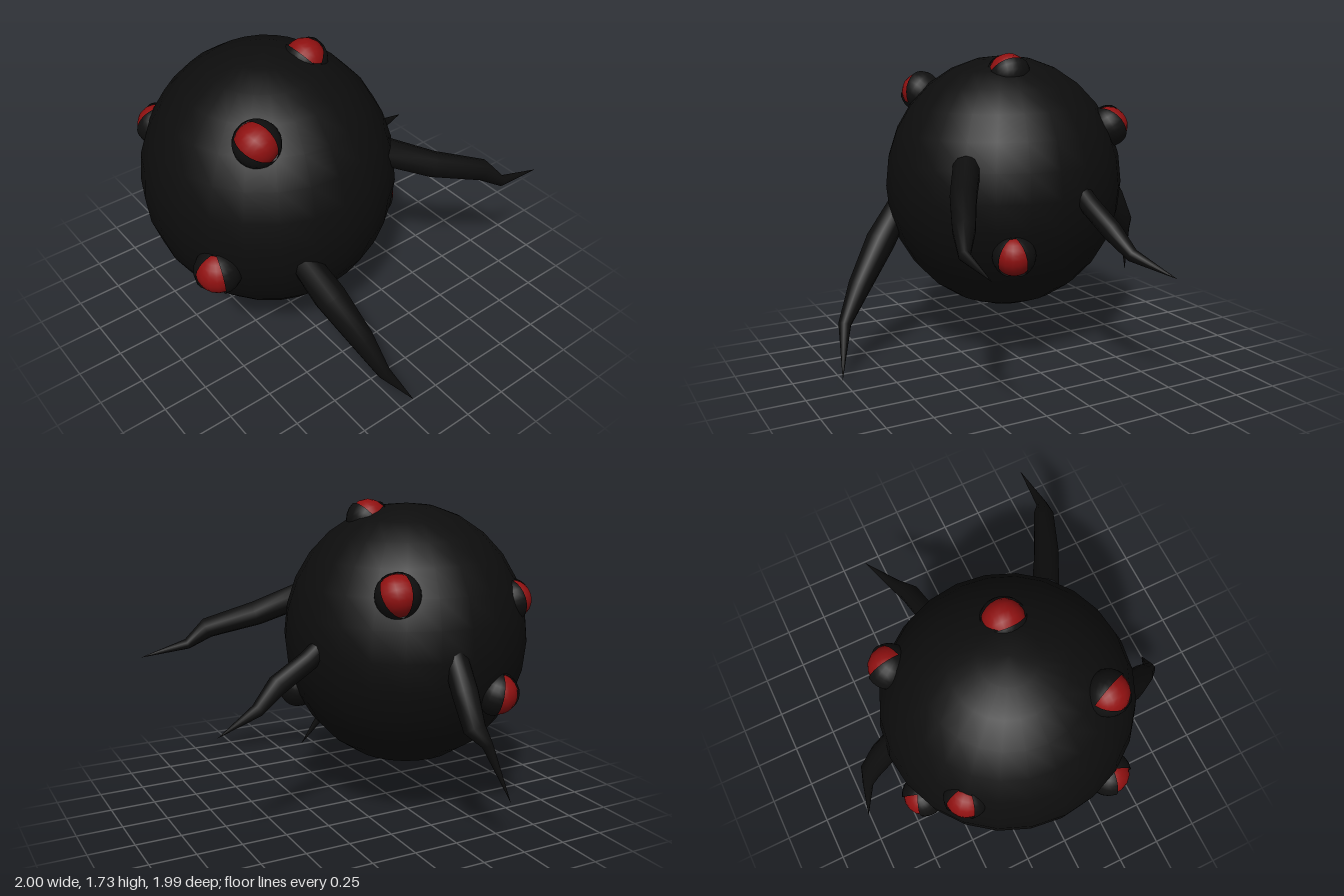
import * as THREE from 'three';

const V = (a) => new THREE.Vector3(...a);
const black = new THREE.MeshStandardMaterial({ color: 0x0d0d0d });
black.name = 'nearBlack';
const lidBlack = new THREE.MeshStandardMaterial({ color: 0x0f0f0f, side: THREE.DoubleSide });
lidBlack.name = 'lidBlack';
const red = new THREE.MeshStandardMaterial({ color: 0x8f1010 });
red.name = 'darkRed';

const CENTRE = [-0.07, 0.98, 0.32];
const RADII = [0.685, 0.725, 0.675];

// Eye: red ball inside a round lid that is open in a wedge towards the gaze
function makeEye({ name, at, slit = [0, 1, 0], gaze, r = 0.115 }) {
  const eye = new THREE.Group();
  eye.name = name;
  const ball = new THREE.Mesh(new THREE.SphereGeometry(r * 0.95, 16, 12), red);
  ball.name = 'eyeball';
  const gap = THREE.MathUtils.degToRad(80);
  const lid = new THREE.Mesh(
    new THREE.SphereGeometry(r * 1.03, 16, 12, Math.PI / 2 + gap / 2, Math.PI * 2 - gap), lidBlack);
  lid.name = 'eyelid';
  eye.add(ball, lid);

  // Look straight out of the body unless a gaze is given; slit is the line between the eye corners
  const z = (gaze ? V(gaze) : V(at.map((c, i) => (c - CENTRE[i]) / RADII[i] ** 2))).normalize();
  const x = V(slit).cross(z).normalize();
  const y = z.clone().cross(x);
  eye.quaternion.setFromRotationMatrix(new THREE.Matrix4().makeBasis(x, y, z));
  eye.position.set(...at);
  return eye;
}

// Tentacle: round cross-sections along a bent path, ending in a sharp tip
function makeTentacle({ name, path, radii }) {
  const SIDES = 10;
  const points = path.map(V);
  const pos = [];
  const index = [];
  let side = new THREE.Vector3(0, 1, 0);
  points.forEach((p, i) => {
    const before = points[Math.max(i - 1, 0)];
    const after = points[Math.min(i + 1, points.length - 1)];
    const dir = after.clone().sub(before).normalize();
    side = side.clone().addScaledVector(dir, -side.dot(dir)).normalize();
    const other = dir.clone().cross(side);
    for (let j = 0; j < SIDES; j++) {
      const a = (j / SIDES) * Math.PI * 2;
      const q = p.clone()
        .addScaledVector(side, Math.cos(a) * radii[i])
        .addScaledVector(other, Math.sin(a) * radii[i]);
      pos.push(q.x, q.y, q.z);
      if (i > 0) {
        const k = (j + 1) % SIDES;
        const lo = (i - 1) * SIDES;
        const hi = i * SIDES;
        index.push(lo + j, lo + k, hi + j, lo + k, hi + k, hi + j);
      }
    }
  });
  const geo = new THREE.BufferGeometry();
  geo.setAttribute('position', new THREE.Float32BufferAttribute(pos, 3));
  geo.setIndex(index);
  geo.computeVertexNormals();
  const mesh = new THREE.Mesh(geo, black);
  mesh.name = name;
  return mesh;
}

const EYES = [
  { name: 'frontLeftEye', at: [0.27, 0.8, 0.87], gaze: [0.55, -0.12, 0.82], r: 0.12 },
  { name: 'frontRightEye', at: [-0.5, 1.21, 0.73], r: 0.11 },
  { name: 'rightEye', at: [-0.67, 0.755, 0.53] },
  { name: 'upperLeftEye', at: [0.31, 1.49, 0.63], slit: [-0.77, 0.5, 0.385] },
  { name: 'topEye', at: [0, 1.62, 0.12], gaze: [0, 1, 0], slit: [1, 0, 0] },
  { name: 'backRightEye', at: [-0.57, 1.31, -0.02], slit: [0.25, 1, -0.17] },
  { name: 'backLowerEye', at: [0.16, 0.69, -0.24], gaze: [0.5, -0.3, -0.82] },
];

const TENTACLES = [
  { name: 'frontLeftTentacle',
    path: [[0.48, 0.88, 0.53], [0.65, 0.67, 0.46], [0.81, 0.45, 0.38], [0.925, 0.26, 0.32], [1, 0, 0.16]],
    radii: [0.07, 0.085, 0.065, 0.036, 0] },
  { name: 'backLeftTentacle',
    path: [[0.37, 1.16, -0.11], [0.5, 1.05, -0.34], [0.62, 0.965, -0.6], [0.67, 0.87, -0.71], [0.67, 0.82, -0.99]],
    radii: [0.075, 0.07, 0.058, 0.03, 0] },
  { name: 'backRightTentacle',
    path: [[-0.22, 1.04, -0.22], [-0.24, 0.94, -0.36], [-0.26, 0.84, -0.54], [-0.3, 0.735, -0.67], [-0.4, 0.66, -0.92]],
    radii: [0.055, 0.055, 0.055, 0.035, 0] },
  { name: 'rightTentacle',
    path: [[-0.67, 1.02, 0.25], [-0.785, 0.83, 0.25], [-0.87, 0.665, 0.255], [-0.92, 0.59, 0.3], [-1, 0.29, 0.4]],
    radii: [0.065, 0.07, 0.06, 0.03, 0] },
];

export function createModel() {
  const model = new THREE.Group();
  model.name = 'manyEyedOrb';

  // Slightly tall round body
  const body = new THREE.Mesh(new THREE.SphereGeometry(1, 24, 14), black);
  body.name = 'body';
  body.scale.set(...RADII);
  body.position.set(...CENTRE);
  model.add(body);

  EYES.forEach((e) => model.add(makeEye(e)));
  TENTACLES.forEach((t) => model.add(makeTentacle(t)));
  return model;
}
